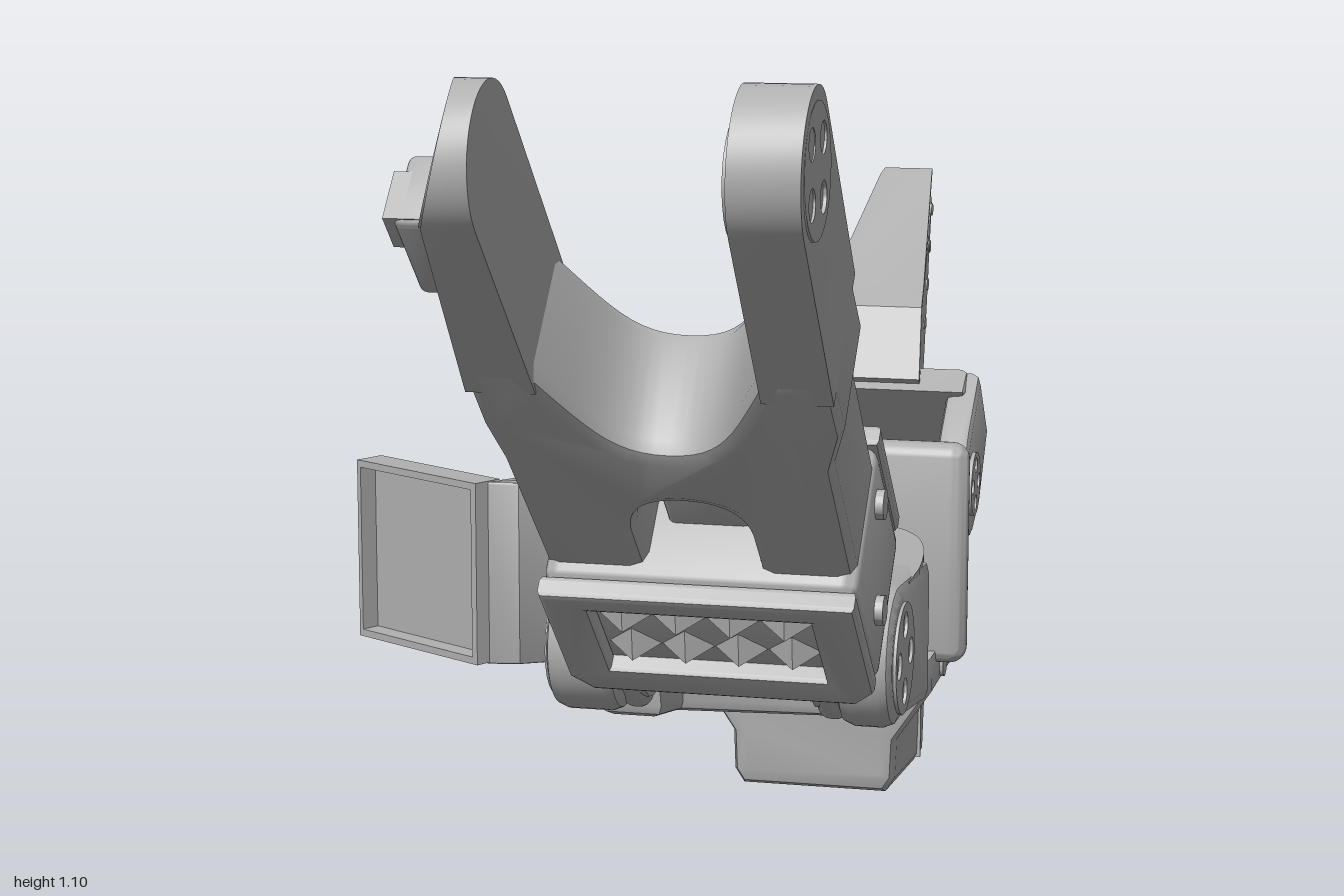
import * as THREE from 'three';
import { toCreasedNormals } from 'three/addons/utils/BufferGeometryUtils.js';
import { RoundedBoxGeometry } from 'three/addons/geometries/RoundedBoxGeometry.js';

const metal = new THREE.MeshStandardMaterial({ color: 0xb0b0b0 });
metal.name = 'plain grey';

function add(parent, name, geo, x = 0, y = 0, z = 0) {
  const m = new THREE.Mesh(toCreasedNormals(geo, 0.6), metal);
  m.name = name;
  m.position.set(x, y, z);
  parent.add(m);
  return m;
}
const points = (pts) => pts.map(([a, b]) => new THREE.Vector2(a, b));
const poly = (pts) => new THREE.Shape(points(pts));

// Extrusion centred on its depth, with a bevel kept inside the outline
function slab(shape, depth, b = 0.01) {
  return new THREE.ExtrudeGeometry(shape, {
    depth: depth - 2 * b, bevelEnabled: b > 0, bevelSize: b, bevelThickness: b,
    bevelOffset: -b, bevelSegments: 2, curveSegments: 12,
  }).translate(0, 0, -depth / 2 + b);
}
// Side profile given as (z, y), extruded across x
const side = (shape, width, b) => slab(shape, width, b).rotateY(-Math.PI / 2);
// Plan outline given as (x, z), extruded down y
const plan = (shape, height, b) => slab(shape, height, b).rotateX(Math.PI / 2);

// Move vertices by a rule
function warp(geo, rule) {
  const p = geo.attributes.position, v = new THREE.Vector3();
  for (let i = 0; i < p.count; i++) {
    rule(v.fromBufferAttribute(p, i));
    p.setXYZ(i, v.x, v.y, v.z);
  }
  geo.computeVertexNormals();
  return geo;
}

// Round plate with a ring of screw holes, facing x
function hub(parent, name, r, x, y, z) {
  const s = new THREE.Shape().absarc(0, 0, r, 0, Math.PI * 2);
  for (let i = 0; i < 4; i++) {
    const a = i * Math.PI / 2;
    s.holes.push(new THREE.Path().absarc(Math.cos(a) * r * 0.6, Math.sin(a) * r * 0.6, r * 0.24, 0, Math.PI * 2, true));
  }
  return add(parent, name, side(s, 0.016, 0), x, y, z);
}
const pin = (parent, name, r, len, x, y, z) =>
  add(parent, name, new THREE.CylinderGeometry(r, r, len, 16).rotateZ(Math.PI / 2), x, y, z);

function buildUpperArm(root) {
  const arm = new THREE.Group();
  arm.name = 'upperArm';
  arm.position.set(0, 0.34, 0.17);
  arm.rotation.x = 0.82;
  root.add(arm);

  // Bridge of the fork with an arch below and a valley above
  const s = poly([[-0.185, 0.14], [-0.065, 0.14], [-0.065, 0.4]]);
  s.quadraticCurveTo(-0.065, 0.47, 0, 0.47);
  s.quadraticCurveTo(0.065, 0.47, 0.065, 0.4);
  [[0.065, 0.14], [0.175, 0.14], [0.18, 0.55], [0.2, 0.62], [0.2, 0.74], [0.132, 0.74]].forEach((p) => s.lineTo(...p));
  s.bezierCurveTo(0.075, 0.62, 0.06, 0.575, 0, 0.575);
  s.bezierCurveTo(-0.06, 0.575, -0.075, 0.62, -0.132, 0.74);
  [[-0.2, 0.74], [-0.2, 0.62], [-0.192, 0.55]].forEach((p) => s.lineTo(...p));
  add(arm, 'forkBridge', slab(s, 0.17, 0.02));

  for (const k of [-1, 1]) {
    // Prong with a round tip, the left one tapering on its outside
    const t = new THREE.Shape();
    t.moveTo(-0.085, 0.69);
    t.lineTo(0.085, 0.69);
    t.lineTo(0.085, 0.983);
    t.absarc(0, 0.983, 0.085, 0, Math.PI, false);
    const geo = warp(side(t, 1, 0.0001), (v) => {
      const inner = k < 0 ? 0.122 : 0.122 + (v.y - 0.69) * 0.04;
      let outer = 0.2 + (v.y - 0.69) * 0.03;
      if (k < 0 && v.y > 0.9) outer -= (v.y - 0.9) * 0.36;
      v.x = k * THREE.MathUtils.lerp(inner, outer, v.x * k + 0.5);
    });
    add(arm, 'forkProng', geo);
    const h = hub(arm, 'prongOuterHub', 0.07, k < 0 ? -0.174 : 0.203, 0.983, 0);
    if (k < 0) h.rotation.z = -0.35;
    else hub(arm, 'prongInnerHub', 0.062, 0.133, 0.965, 0);
    for (const y of [0.2, 0.29]) pin(arm, 'sleeveScrew', 0.018, 0.012, k * 0.186, y, 0.05 - (y - 0.2));
    // Tabs joining the arm to the elbow cheeks
    add(arm, 'elbowTab', new RoundedBoxGeometry(0.04, 0.22, 0.14, 3, 0.018), -0.025 + k * 0.125, 0.05, 0);
    pin(arm, 'elbowKnuckle', 0.07, 0.05, -0.025 + k * 0.13, 0, 0);
  }
  add(arm, 'prongConnector', new RoundedBoxGeometry(0.05, 0.13, 0.09, 2, 0.01), -0.21, 0.86, -0.01);
  add(arm, 'prongConnectorCap', new THREE.BoxGeometry(0.04, 0.05, 0.06), -0.225, 0.9, 0.0);

  // Sleeve with sunken windows that hold rows of pointed studs
  add(arm, 'sleeveCore', new RoundedBoxGeometry(0.37, 0.22, 0.206, 3, 0.02), -0.003, 0.225, 0.005);
  const frame = poly([[-0.16, -0.12], [0.16, -0.12], [0.185, -0.09], [0.185, 0.105], [-0.185, 0.105], [-0.185, -0.09]]);
  frame.holes.push(new THREE.Path(points([[-0.13, -0.07], [-0.13, 0.07], [0.13, 0.07], [0.13, -0.07]])));
  for (const k of [-1, 1]) {
    add(arm, 'sleeveFrame', slab(frame, 0.03, 0.008), -0.003, 0.23, 0.005 + k * 0.112);
    for (let i = 0; i < 4; i++) for (let j = 0; j < 2; j++) {
      const cone = new THREE.ConeGeometry(0.034, 0.028, 4).rotateX(k * Math.PI / 2);
      add(arm, 'sleeveStud', cone, -0.099 + i * 0.064, 0.196 + j * 0.068, 0.005 + k * 0.115);
    }
  }
  // Motor inside the elbow
  add(arm, 'elbowMotor', new RoundedBoxGeometry(0.22, 0.2, 0.15, 2, 0.012), 0, 0.12, 0);
  add(arm, 'elbowMotorEnd', new RoundedBoxGeometry(0.1, 0.12, 0.09, 2, 0.01), 0, 0.36, -0.02);
}

function buildForearm(root) {
  // Solid rear of the forearm, lower towards the back
  const s = poly([[-0.265, -0.29], [0.06, -0.24]]);
  s.bezierCurveTo(0.14, -0.22, 0.17, -0.15, 0.18, 0.02);
  [[0.18, 0.1], [0.11, 0.1], [0.105, 0.02], [-0.14, 0.015], [-0.15, 0.1], [-0.235, 0.1], [-0.25, -0.04]].forEach((p) => s.lineTo(...p));
  add(root, 'forearmBody', warp(plan(s, 0.212, 0.015).translate(0, 0.294, 0), (v) => {
    if (v.y < 0.3) {
      v.x *= 0.92;
      v.y += 0.16 * Math.max(0, v.z + 0.1) + 0.12 * Math.max(0, v.x - 0.05);
    }
  }));
  // Top cover with two slanted slots
  const cover = s.clone();
  for (const z of [-0.185, -0.08]) {
    const hex = points([[-0.06, 0], [-0.04, 0.024], [0.04, 0.024], [0.06, 0], [0.04, -0.024], [-0.04, -0.024]]);
    hex.forEach((p) => p.rotateAround(new THREE.Vector2(), -0.75).add(new THREE.Vector2(-0.165, z)));
    cover.holes.push(new THREE.Path(hex));
  }
  add(root, 'forearmCover', plan(cover, 0.024, 0), 0, 0.404, 0);
  for (const x of [-0.02, 0.035])
    add(root, 'topBlock', new RoundedBoxGeometry(0.035, 0.05, 0.085, 1, 0.006), x, 0.435, -0.15);
  add(root, 'sidePanel', new THREE.BoxGeometry(0.008, 0.16, 0.15), -0.255, 0.32, -0.16).rotation.y = 0.06;
  // Elbow cheeks with screw hubs
  const c = poly([[-0.06, 0.22], [0.14, 0.25]]);
  c.absarc(0.17, 0.34, 0.09, -1.4, 1.7, false);
  c.lineTo(-0.06, 0.41);
  for (const [x, w, k] of [[-0.205, 0.09, -1], [0.148, 0.07, 1]]) {
    add(root, 'elbowCheek', side(c, w, 0.018), x, 0, 0);
    hub(root, 'elbowHub', 0.07, x + k * (w / 2 - 0.004), 0.335, 0.165);
  }
}

// Narrow a unit-wide finger towards a rounded tip
const taper = (v, z0, w0, z1, w1, tip) => {
  v.x *= THREE.MathUtils.mapLinear(v.z, z0, z1, w0, w1) * (v.z < tip ? 0.6 : 1);
};

function buildGripper(root) {
  // Wrist joint and flange
  add(root, 'wristDisc', new THREE.CylinderGeometry(0.1, 0.1, 0.12, 32).rotateX(Math.PI / 2), 0, 0.34, -0.3);
  add(root, 'wristFlange', new RoundedBoxGeometry(0.38, 0.31, 0.05, 4, 0.024), 0, 0.355, -0.345);
  add(root, 'flangeLug', new RoundedBoxGeometry(0.035, 0.12, 0.06, 2, 0.01), -0.2, 0.33, -0.35);

  // Lower jaw housing
  const h = poly([[-0.1, 0], [0.1, 0], [0.113, 0.02], [0.115, 0.1], [0.162, 0.17], [0.162, 0.22],
    [-0.162, 0.22], [-0.162, 0.17], [-0.115, 0.1], [-0.113, 0.02]]);
  add(root, 'jawHousing', warp(slab(h, 0.28, 0.02).translate(-0.012, 0, -0.41), (v) => {
    if (v.y < 0.1) v.y += 0.1 * Math.max(0, v.z + 0.53);
  }));
  add(root, 'gripMotor', new RoundedBoxGeometry(0.25, 0.24, 0.18, 2, 0.012), 0, 0.32, -0.45);
  add(root, 'gripMotorCap', new RoundedBoxGeometry(0.19, 0.05, 0.11, 2, 0.01), 0, 0.455, -0.44);

  // Fingers: side profiles narrowing towards the tip
  const lower = poly([[-0.48, 0.16], [-0.48, 0.02], [-0.56, 0.004], [-0.7, 0.04], [-1.0, 0.137], [-1.018, 0.152],
    [-1.0, 0.168], [-0.88, 0.155], [-0.87, 0.145], [-0.75, 0.15], [-0.74, 0.14], [-0.58, 0.165]]);
  add(root, 'lowerFinger', warp(side(lower, 1, 0.004), (v) => {
    taper(v, -0.48, 0.23, -1.02, 0.05, -1.008);
    v.x -= 0.008 + 0.03 * (-0.48 - v.z);
  }));
  const upper = poly([[-0.49, 0.57], [-0.545, 0.665], [-0.61, 0.685], [-0.86, 0.82], [-0.885, 0.828], [-0.903, 0.822],
    [-0.912, 0.8], [-0.885, 0.78], [-0.78, 0.69], [-0.775, 0.68], [-0.63, 0.55], [-0.59, 0.49]]);
  add(root, 'upperFinger', warp(side(upper, 1, 0.004), (v) => {
    taper(v, -0.5, 0.165, -0.92, 0.065, -0.895);
    v.x += 0.012;
  }));
  for (let i = 0; i < 4; i++) {
    pin(root, 'lowerFingerPin', 0.009, 0.194 - i * 0.03, -0.012 - i * 0.0027, 0.095 + i * 0.018, -0.6 - i * 0.09);
    pin(root, 'upperFingerPin', 0.009, 0.139 - i * 0.0167, 0.012, 0.63 + i * 0.047, -0.63 - i * 0.07);
  }
  // Upper jaw yoke: crossbar and two arms on pivots
  add(root, 'yokeBar', side(poly([[-0.485, 0.555], [-0.53, 0.58], [-0.62, 0.48], [-0.59, 0.45]]), 0.32, 0.01));
  const armShape = poly([[-0.4, 0.38], [-0.39, 0.46], [-0.44, 0.51], [-0.53, 0.575], [-0.62, 0.48], [-0.54, 0.38], [-0.47, 0.35]]);
  for (const k of [-1, 1]) {
    add(root, 'yokeArm', side(armShape, 0.045, 0.012), 0.005 + k * 0.15, 0, 0);
    hub(root, 'yokeHub', 0.045, 0.005 + k * 0.17, 0.43, -0.46);
    for (const z of [-0.38, -0.52]) pin(root, 'housingScrew', 0.02, 0.01, -0.012 + k * 0.162, 0.19, z);
    add(root, 'housingCheek', side(poly([[-0.4, 0.2], [-0.54, 0.2], [-0.53, 0.29], [-0.42, 0.29]]), 0.03, 0.006), k * 0.135, 0, 0);
  }
}

function buildPaddle(root) {
  // Bent strip leading out to the paddle
  const strip = poly([[-0.05, -0.335], [-0.17, -0.305], [-0.285, -0.115], [-0.308, -0.07],
    [-0.262, -0.085], [-0.15, -0.275], [-0.05, -0.3]]);
  add(root, 'paddleStrip', warp(plan(strip, 0.255, 0.004).translate(0, 0.322, 0), (v) => {
    if (v.x < -0.25) v.y += 0.014;
    else v.y -= 0.006;
  }));
  const paddle = new THREE.Group();
  paddle.name = 'paddle';
  paddle.position.set(-0.415, 0.338, -0.118);
  paddle.rotation.y = -0.35;
  root.add(paddle);
  // Rim around a shallow sunken face, with a horn tapering behind
  const rim = poly([[-0.122, -0.127], [0.122, -0.127], [0.122, 0.127], [-0.122, 0.127]]);
  rim.holes.push(new THREE.Path(points([[-0.115, -0.117], [-0.115, 0.117], [0.112, 0.117], [0.112, -0.117]])));
  add(paddle, 'paddleRim', slab(rim, 0.045, 0), 0, 0, 0.005);
  const horn = new THREE.CylinderGeometry(0.065, 0.17, 0.2, 4).rotateY(Math.PI / 4).rotateX(-Math.PI / 2);
  add(paddle, 'paddleHorn', horn, 0, 0, -0.1);
  add(paddle, 'hornTip', new THREE.CylinderGeometry(0.045, 0.06, 0.03, 24).rotateX(-Math.PI / 2), 0, 0, -0.195);
}

export function createModel() {
  const model = new THREE.Group();
  model.name = 'robotArm';
  const body = new THREE.Group();
  body.name = 'armAssembly';
  body.position.x = 0.16;
  body.rotation.y = 0.18;
  model.add(body);
  buildUpperArm(body);
  buildForearm(body);
  buildGripper(body);
  buildPaddle(model);
  return model;
}
